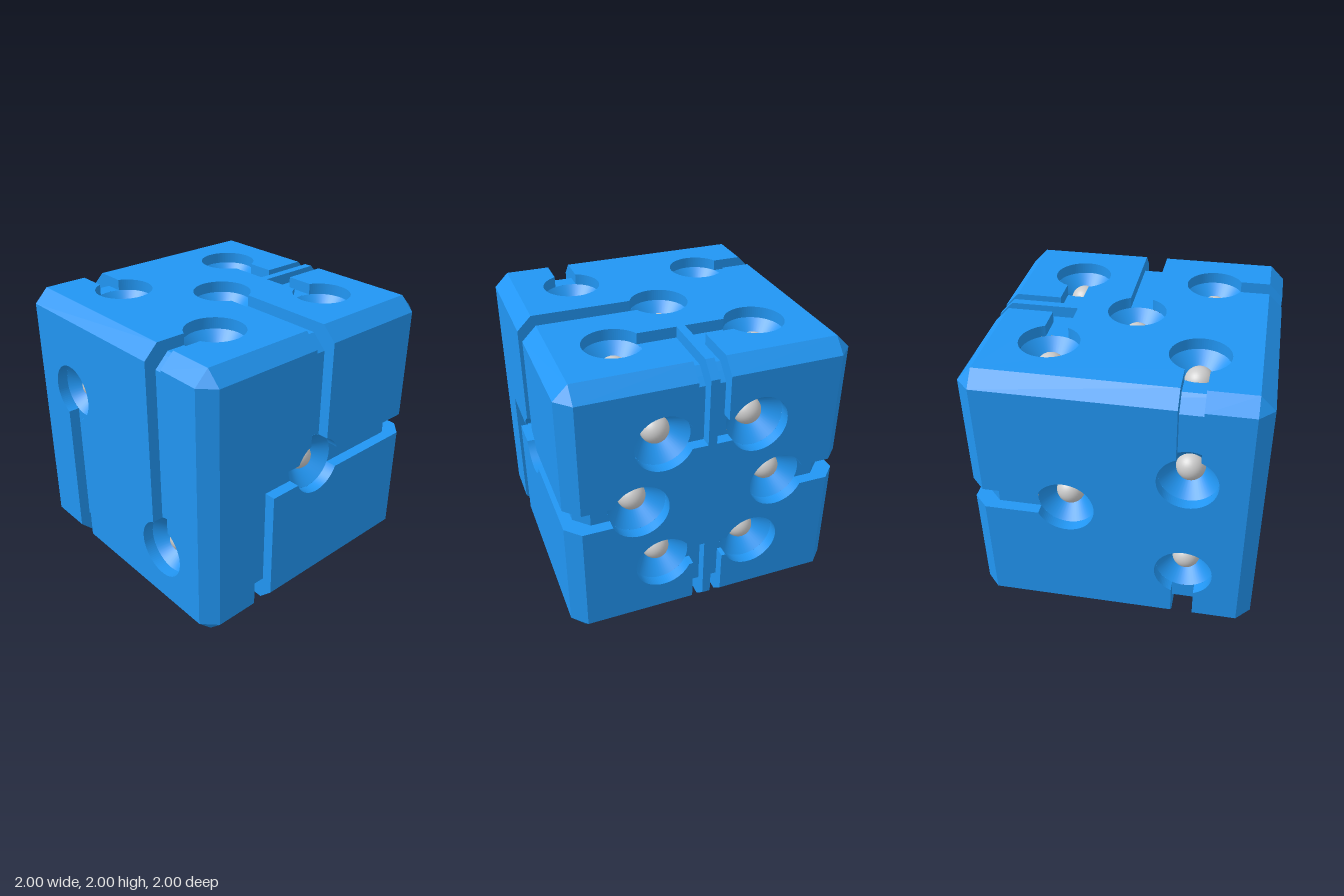
import * as THREE from 'three';
import { ConvexGeometry } from 'three/addons/geometries/ConvexGeometry.js';

const E = 0.9, IN = 0.82, FLOOR = 0.92, DEPTH = 0.08; // chamfer start, inner chamfer start, groove floor
const R = 0.205, W = 0.08;                            // recess radius, half groove width
const NEAR = 0.03, FAR = 0.11;                        // sides of the narrow twin grooves
const Q = Math.PI / 2;

const blue = new THREE.MeshStandardMaterial({ color: 0x2196f3 });
const seatBlue = new THREE.MeshStandardMaterial({ color: 0x2196f3, side: THREE.DoubleSide });
const grey = new THREE.MeshStandardMaterial({ color: 0xcccccc });

// Arc token: walk round a recess from the groove at angle a to the groove at angle b (quarter turns)
const recess = (x, y, a, b = a) => ({ x, y, a, b });

// Axes of a face side: outward direction and the direction of travel along it
const axes = (side) => {
  const c = Math.cos(side * Q), s = Math.sin(side * Q);
  return {
    at: (out, along) => [out * c - along * s, out * s + along * c],
    out: (x, y) => x * c + y * s,
    along: (x, y) => y * c - x * s,
  };
};

// Groove running straight from a recess to the side
const straight = (x, y) => (side) => {
  const f = axes(side), m = f.along(x, y);
  return [f.at(E, m - W), recess(x, y, side), f.at(E, m + W)];
};

// Groove leaving a recess sideways, then turning out to the side near its middle
const bent = (x, y) => (side) => {
  const f = axes(side), m = f.along(x, y), o = f.out(x, y);
  return m < 0
    ? [f.at(E, -FAR), f.at(o + W, -FAR), recess(x, y, side + 1), f.at(o - W, -NEAR), f.at(E, -NEAR)]
    : [f.at(E, NEAR), f.at(o - W, NEAR), recess(x, y, side - 1), f.at(o + W, FAR), f.at(E, FAR)];
};

// Square plate outline with its notches, counterclockwise
const notched = (bottom, right, top, left) =>
  [[3, bottom], [0, right], [1, top], [2, left]].flatMap(([side, notches]) =>
    [axes(side).at(E, -E), ...notches.flatMap((n) => n(side))]);

const frontPlates = [
  [[E, W], [E, E], [W, E], recess(0, 0, 1, 0)],
  [[-0.42, -E], [E, -E], [E, -W], recess(0, 0, 0, 2), [-0.42, -W]],
  [[-E, -E], [-0.58, -E], [-0.58, W], recess(0, 0, 2, 1), [-W, E], [-E, E]],
];
const sixPlates = [notched([bent(-0.33, -0.5), bent(0.33, -0.5)], [straight(0.5, 0)],
  [bent(0.33, 0.5), bent(-0.33, 0.5)], [straight(-0.5, 0)])];
const topPlates = [notched([straight(0, 0)], [bent(0.5, -0.5), bent(0.5, 0.5)],
  [straight(-0.5, 0.5)], [straight(-0.5, -0.5)])];
const backPlates = [notched([straight(0.5, -0.5)], [], [straight(0.5, 0.33)], [straight(-0.33, 0)])];
const twoPlates = [notched([straight(-0.5, 0.33)], [], [straight(0.5, -0.5)], [])];
// The bottom loses one corner to a separate plate
const bottomPlates = [
  [[-E, -E], [-0.58, -E], recess(-0.5, -0.5, 3, 2), [-E, -0.58]],
  [...notched([], [bent(0.5, -0.5), bent(0.5, 0.5)], [straight(-0.5, 0.5)], []).slice(1),
    [-E, -0.42], recess(-0.5, -0.5, 2, 3), [-0.42, -E]],
];

function mesh(parent, name, geometry, material = blue) {
  const m = new THREE.Mesh(geometry, material);
  m.name = name;
  parent.add(m);
  return m;
}

function prism(shape, from, to) {
  return new THREE.ExtrudeGeometry(shape, { depth: to - from, bevelEnabled: false, curveSegments: 40 })
    .translate(0, 0, from);
}

const polygon = (pts) => new THREE.Shape(pts.map(([x, y]) => new THREE.Vector2(x, y)));

// Plate outline: straight runs joined by clockwise arcs round the recesses
function plateShape(tokens) {
  const s = new THREE.Shape(), d = Math.asin(W / R);
  tokens.forEach((t, i) => {
    if (!Array.isArray(t)) s.absarc(t.x, t.y, R, t.a * Q - d, t.b * Q + d, true);
    else if (i === 0) s.moveTo(...t);
    else s.lineTo(...t);
  });
  s.closePath();
  return s;
}

function buildFace(name, rx, ry, plates) {
  const g = new THREE.Group();
  g.name = name;
  g.rotation.set(rx, ry, 0);
  plates.forEach((p) => mesh(g, 'plate', prism(plateShape(p), FLOOR, FLOOR + DEPTH)));

  // Recess centres, each once
  const centres = new Map();
  plates.flat().filter((t) => !Array.isArray(t)).forEach((t) => centres.set(`${t.x},${t.y}`, t));

  // Groove floor pierced by the recesses, with a conical seat and round lamp in each
  const floor = polygon([[-IN, -IN], [IN, -IN], [IN, IN], [-IN, IN]]);
  centres.forEach(({ x, y }) => {
    floor.holes.push(new THREE.Path().absarc(x, y, R, 0, 4 * Q, true));
    const seat = new THREE.LatheGeometry(
      [new THREE.Vector2(0.098, 0.8), new THREE.Vector2(R, FLOOR)], 48).rotateX(Q);
    mesh(g, 'lampSeat', seat, seatBlue).position.set(x, y, 0);
    mesh(g, 'lamp', new THREE.SphereGeometry(0.1, 32, 20), grey).position.set(x, y, 0.8);
  });
  mesh(g, 'grooveFloor', new THREE.ShapeGeometry(floor, 40).translate(0, 0, FLOOR));
  return g;
}

// Chamfered edge, cut where grooves pass, over a continuous inner chamfer
function buildEdge(gaps) {
  const g = new THREE.Group();
  g.name = 'edge';
  const outer = polygon([[E, 1], [E, FLOOR], [IN, FLOOR], [FLOOR, IN], [FLOOR, E], [1, E]]);
  let from = -E;
  [...gaps, [E, E]].forEach(([a, b]) => {
    mesh(g, 'chamfer', prism(outer, from, a));
    from = b;
  });
  mesh(g, 'grooveChamfer', prism(polygon([[IN, IN], [FLOOR, IN], [IN, FLOOR]]), -0.84, 0.84));
  return g;
}

// Four parallel edges, one per quadrant, each with its groove gaps
function buildEdgeSet(rx, ry, gapLists) {
  const g = new THREE.Group();
  g.name = 'edgeSet';
  g.rotation.set(rx, ry, 0);
  gapLists.forEach((gaps, q) => {
    const e = buildEdge(gaps);
    e.rotation.z = q * Q;
    g.add(e);
  });
  return g;
}

export function createModel() {
  const model = new THREE.Group();
  model.name = 'lampCube';
  const cube = new THREE.Group();
  cube.name = 'cube';
  cube.position.y = 1;
  model.add(cube);

  cube.add(
    buildFace('frontFace', 0, 0, frontPlates),
    buildFace('leftFace', 0, Q, sixPlates),
    buildFace('topFace', -Q, 0, topPlates),
    buildFace('backFace', 0, 2 * Q, backPlates),
    buildFace('rightFace', 0, -Q, twoPlates),
    buildFace('bottomFace', Q, 0, bottomPlates),
  );

  const twin = [[-FAR, -NEAR], [NEAR, FAR]], middle = [[-W, W]];
  const low = [[-0.58, -0.42]], high = [[0.42, 0.58]];
  cube.add(
    buildEdgeSet(0, 0, [twin, high, low, twin]),
    buildEdgeSet(0, Q, [low, middle, low, low]),
    buildEdgeSet(-Q, 0, [middle, [], [], middle]),
  );

  // Cut corners
  for (const x of [-1, 1]) for (const y of [-1, 1]) for (const z of [-1, 1]) {
    const p = [[E, E, E], [1, E, E], [E, 1, E], [E, E, 1]]
      .map(([a, b, c]) => new THREE.Vector3(a * x, b * y, c * z));
    mesh(cube, 'corner', new ConvexGeometry(p));
  }
  return model;
}
